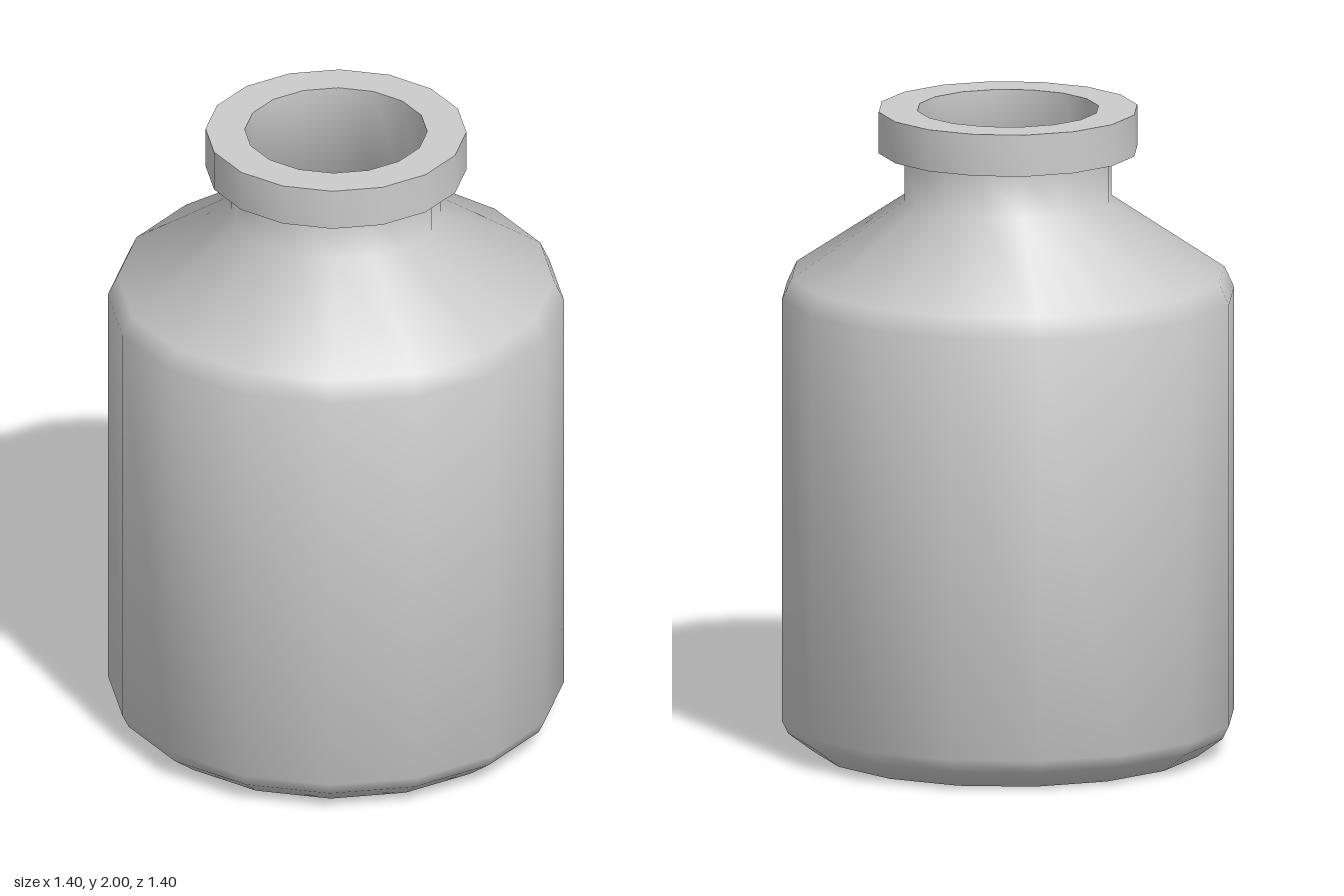
import * as THREE from 'three';
import { toCreasedNormals } from 'three/addons/utils/BufferGeometryUtils.js';

const SIDES = 16;

// Revolve a profile of [radius, height] points; only sharp corners stay creased
function turned(name, profile, material) {
  const points = profile.map(([r, y]) => new THREE.Vector2(r, y));
  const geometry = toCreasedNormals(new THREE.LatheGeometry(points, SIDES), Math.PI / 3);
  const mesh = new THREE.Mesh(geometry, material);
  mesh.name = name;
  return mesh;
}

export function createModel() {
  const bottle = new THREE.Group();
  bottle.name = 'bottle';
  const material = new THREE.MeshStandardMaterial({ color: 0xcccccc });

  // Base, straight wall, sloping shoulder and neck
  bottle.add(turned('body', [
    [0, 0], [0.6, 0], [0.68, 0.06], [0.7, 0.1],
    [0.7, 1.42], [0.67, 1.485], [0.32, 1.72], [0.32, 1.87],
  ], material));

  // Wide collar around the mouth
  bottle.add(turned('rim', [
    [0.32, 1.87], [0.4, 1.87], [0.4, 2], [0.28, 2],
  ], material));

  // Hollow inside, following the outer wall down to the floor
  bottle.add(turned('interior', [
    [0.28, 2], [0.28, 1.7], [0.63, 1.46], [0.66, 1.4],
    [0.66, 0.12], [0.64, 0.09], [0.58, 0.04], [0, 0.04],
  ], material));

  return bottle;
}
